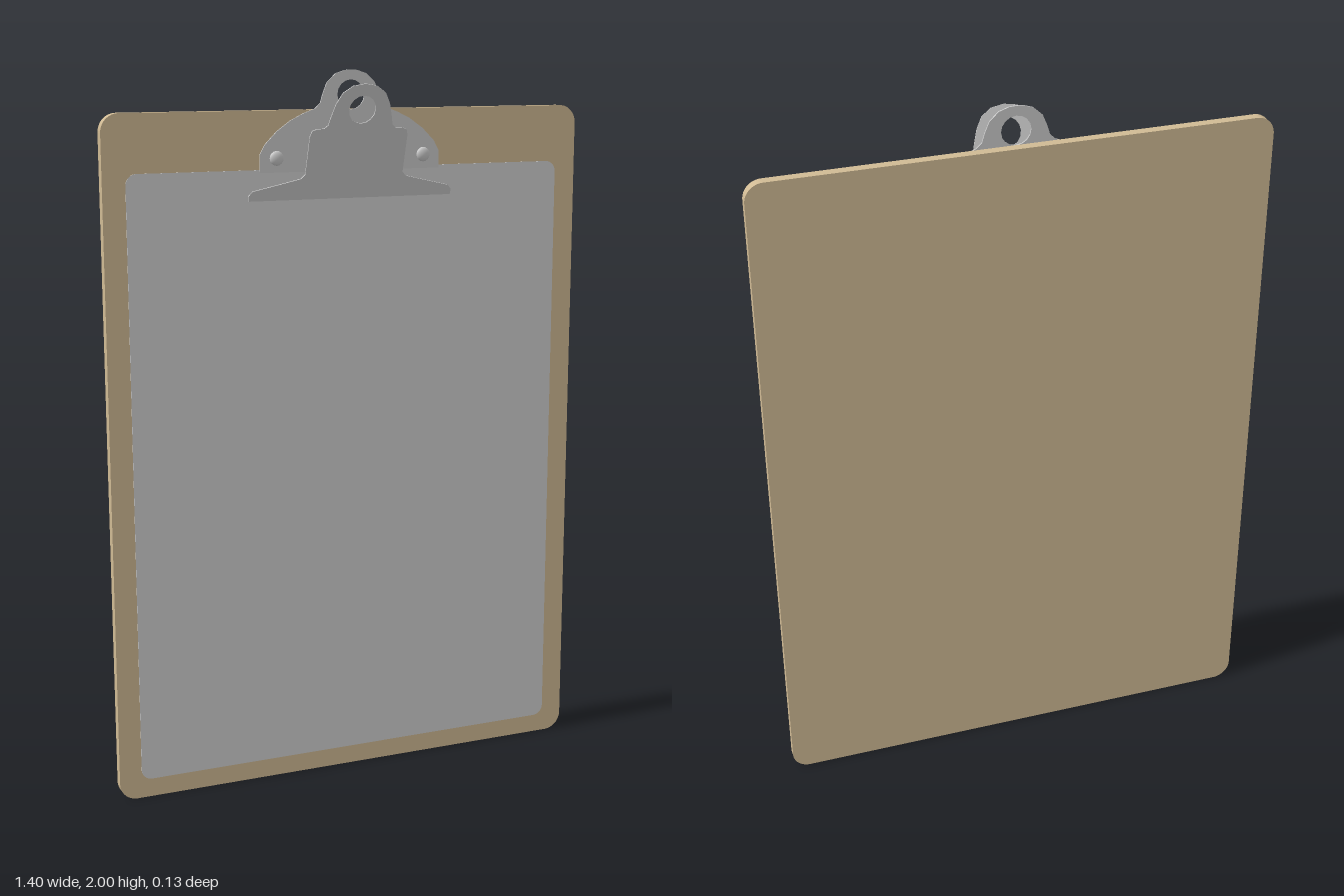
import * as THREE from 'three';

const mat = (name, color) => Object.assign(new THREE.MeshStandardMaterial({ color }), { name });

// Rectangle with rounded corners, standing from y0 to y1
function roundedRect(halfW, y0, y1, r) {
  const s = new THREE.Shape();
  s.absarc(halfW - r, y0 + r, r, -Math.PI / 2, 0);
  s.absarc(halfW - r, y1 - r, r, 0, Math.PI / 2);
  s.absarc(-halfW + r, y1 - r, r, Math.PI / 2, Math.PI);
  s.absarc(-halfW + r, y0 + r, r, Math.PI, Math.PI * 1.5);
  s.closePath();
  return s;
}

// Symmetric outline from its +x half (bottom to top), with a round hole
function mirroredShape(half, holeY, holeR) {
  const right = half.map(([x, y]) => new THREE.Vector2(x, y));
  const left = half.filter(([x]) => x > 0).reverse().map(([x, y]) => new THREE.Vector2(-x, y));
  const s = new THREE.Shape([...right, ...left]);
  const hole = new THREE.Path();
  hole.absarc(0, holeY, holeR, 0, Math.PI * 2, true);
  s.holes.push(hole);
  return s;
}

export function createModel() {
  const group = new THREE.Group();
  const wood = mat('tan hardboard', 0xd0ba94);
  const white = mat('paper', 0xd0d0d0);
  const metal = mat('metal', 0xcacaca);

  const add = (name, geometry, material, parent = group) => {
    const mesh = new THREE.Mesh(geometry, material);
    mesh.name = name;
    parent.add(mesh);
    return mesh;
  };
  const slab = (shape, depth) =>
    new THREE.ExtrudeGeometry(shape, { depth, bevelEnabled: false, curveSegments: 8 });

  // Board and sheet of paper
  add('board', slab(roundedRect(0.7, 0, 1.895, 0.05), 0.026), wood).position.z = -0.065;
  add('paper', slab(roundedRect(0.637, 0.053, 1.738, 0.03), 0.002), white).position.z = -0.039;

  // Fixed back plate of the clip with its hanging hole
  const plate = mirroredShape([
    [0.265, 1.73], [0.265, 1.778], [0.25, 1.805], [0.215, 1.84], [0.175, 1.868], [0.14, 1.885],
    [0.105, 1.898], [0.09, 1.912], [0.082, 1.938], [0.07, 1.967], [0.045, 1.99], [0.018, 1.999], [0, 2],
  ], 1.934, 0.04);
  add('clipPlate', slab(plate, 0.004), metal).position.z = -0.039;

  // Tilted lever that presses on the paper
  const lever = mirroredShape([
    [0.3, 0], [0.301, 0.015], [0.29, 0.028], [0.2, 0.049], [0.155, 0.06], [0.144, 0.072],
    [0.143, 0.18], [0.138, 0.195], [0.125, 0.2], [0.105, 0.201], [0.094, 0.21], [0.088, 0.235],
    [0.078, 0.27], [0.062, 0.3], [0.035, 0.319], [0, 0.325],
  ], 0.253, 0.039);
  const leverMesh = add('lever', slab(lever, 0.003), metal);
  leverMesh.position.set(0, 1.656, -0.036);
  leverMesh.rotation.x = 0.31;

  // Hinge block between plate and lever, drawn in (z, y) and extruded along x
  const hinge = new THREE.Shape([
    [-0.036, 1.78], [-0.003, 1.757], [0.016, 1.82], [-0.036, 1.852],
  ].map(([z, y]) => new THREE.Vector2(-z, y)));
  const hingeMesh = add('hinge', slab(hinge, 0.126), metal);
  hingeMesh.rotation.y = Math.PI / 2;
  hingeMesh.position.x = -0.063;

  // Domed rivets
  for (const side of [-1, 1]) {
    const dome = new THREE.SphereGeometry(0.02, 16, 6, 0, Math.PI * 2, 0, Math.PI / 2);
    dome.scale(1, 0.5, 1).rotateX(Math.PI / 2);
    add(side > 0 ? 'leftRivet' : 'rightRivet', dome, metal).position.set(side * 0.217, 1.768, -0.035);
  }
  return group;
}
